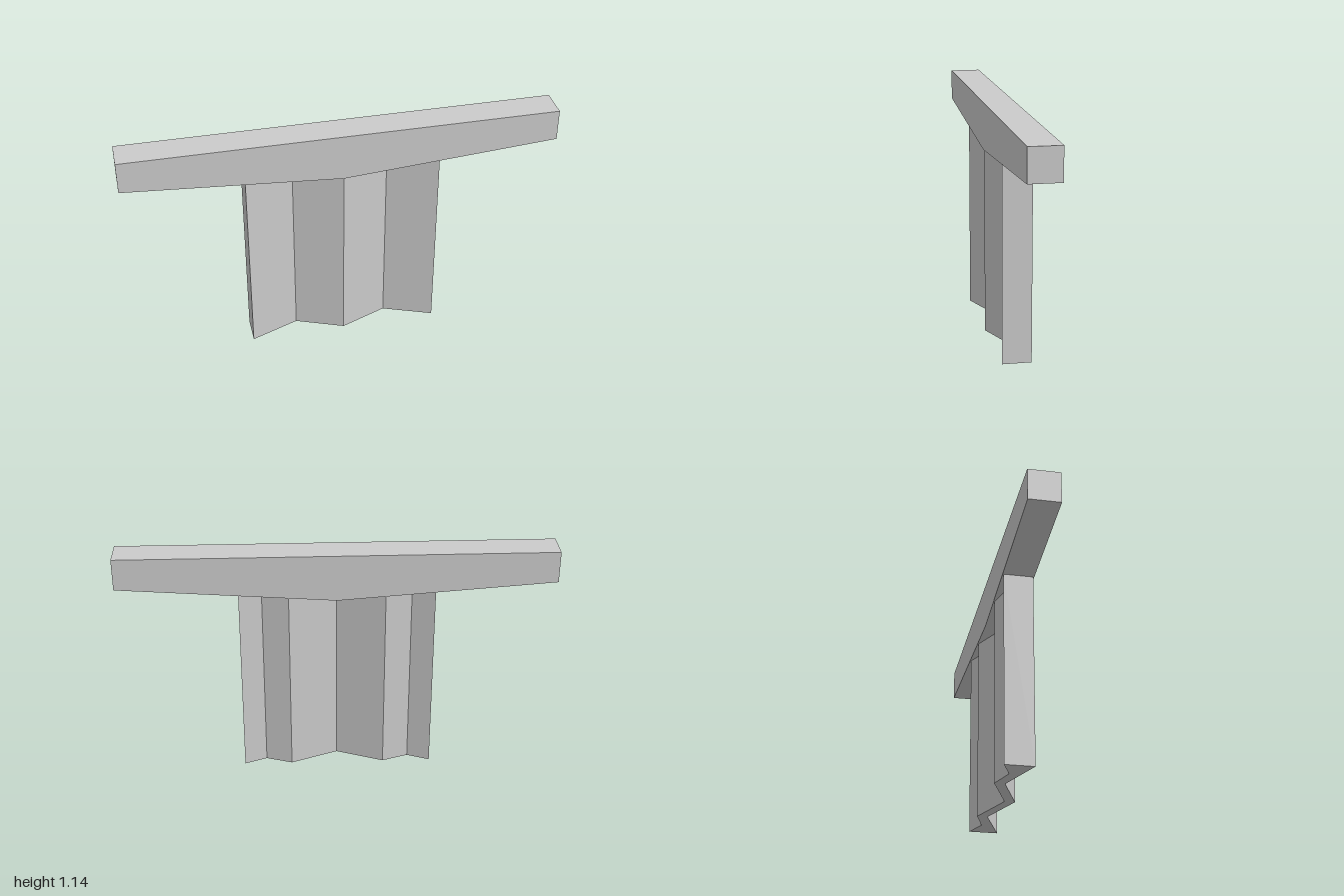
import * as THREE from 'three';

const ANGLE = 0.3245;      // skew of the whole pier about the vertical
const HALF = 1.03;         // half length of the cap beam
const TOP = 1.14, END = 0.987, MID = 0.912;

// height of the beam underside at distance x along it
const underside = (x) => MID + (END - MID) * Math.abs(x) / HALF;

const shapeOf = (points) => new THREE.Shape(points.map(([x, y]) => new THREE.Vector2(x, y)));

export function createModel() {
  const group = new THREE.Group();
  group.name = 'bridgePier';
  const material = new THREE.MeshStandardMaterial({ color: 0xcccccc, flatShading: true });

  // Cap beam: level top, underside falling to a shallow point in the middle
  const beamGeometry = new THREE.ExtrudeGeometry(
    shapeOf([[-HALF, END], [0, MID], [HALF, END], [HALF, TOP], [-HALF, TOP]]),
    { depth: 0.15, bevelEnabled: false });
  beamGeometry.translate(0, 0, -0.075);
  const beam = new THREE.Mesh(beamGeometry, material);
  beam.name = 'capBeam';

  // Pier wall: folded plan, drawn as [x, z]; each half mirrors the other
  const front = [[0, 0.07], [0.227, -0.02], [0.46, 0.07]];
  const back = [[0.46, -0.07], [0.353, -0.027], [0.227, -0.07], [0, 0.02]];
  const half = [...front, ...back];
  const mirrored = half.slice(1, -1).reverse().map(([x, z]) => [-x, z]);
  const plan = [...half, ...mirrored].map(([x, z]) => [x, -z]);
  const wallGeometry = new THREE.ExtrudeGeometry(shapeOf(plan), { depth: 1, bevelEnabled: false });
  wallGeometry.rotateX(-Math.PI / 2);

  // Fit the top of the wall to the sloping underside of the beam
  const pos = wallGeometry.attributes.position;
  for (let i = 0; i < pos.count; i++) {
    if (pos.getY(i) > 0.5) pos.setY(i, underside(pos.getX(i)));
  }
  wallGeometry.computeVertexNormals();
  const wall = new THREE.Mesh(wallGeometry, material);
  wall.name = 'pierWall';

  const pier = new THREE.Group();
  pier.name = 'skewedPier';
  pier.rotation.y = ANGLE;
  pier.add(beam, wall);
  group.add(pier);
  return group;
}
